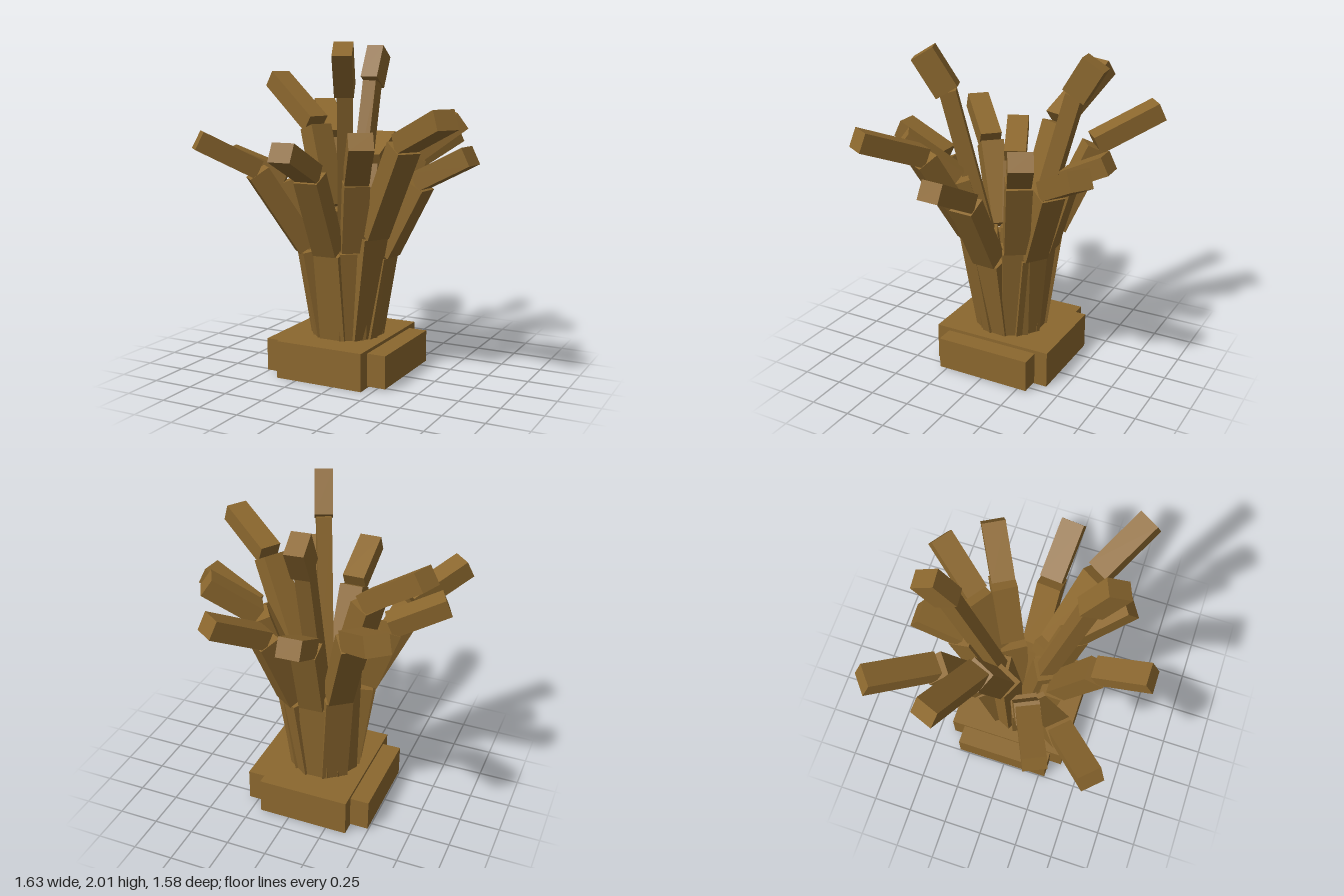
import * as THREE from 'three';

const wood = new THREE.MeshStandardMaterial({ color: 0x8b672e });
wood.name = 'wood brown';

const CX = -0.095, CZ = -0.01; // centre of the plant

function box(name, w, h, d, x, y, z) {
  const m = new THREE.Mesh(new THREE.BoxGeometry(w, h, d), wood);
  m.name = name;
  m.position.set(x, y, z);
  return m;
}

// Square-cut beam from a to b; its width stays level, across the plan heading
function beam(name, a, b, width, depth) {
  const along = b.clone().sub(a);
  const length = along.length();
  along.normalize();
  const across = new THREE.Vector3(along.z, 0, -along.x).normalize();
  const out = new THREE.Vector3().crossVectors(across, along);
  const m = box(name, width, length, depth, 0, 0, 0);
  m.quaternion.setFromRotationMatrix(new THREE.Matrix4().makeBasis(across, along, out));
  m.position.copy(a).add(b).multiplyScalar(0.5);
  return m;
}

// Outer branches: tip start, tip end, height and radius of the lower joint
const branches = [
  { name: 'frontBranch', from: [-0.09, 1.27, 0.46], to: [-0.09, 1.42, 0.77], jointY: 0.79, r: 0.25 },
  { name: 'frontLeftLongBranch', from: [0.42, 1.45, 0.30], to: [0.75, 1.605, 0.50], jointY: 0.9, r: 0.29 },
  { name: 'frontLeftShortBranch', from: [0.10, 1.23, 0.26], to: [0.27, 1.475, 0.53], jointY: 0.8, r: 0.22 },
  { name: 'frontRightBranch', from: [-0.50, 1.27, 0.37], to: [-0.75, 1.45, 0.61], jointY: 0.79, r: 0.26 },
  { name: 'rightBranch', from: [-0.43, 1.2, 0.15], to: [-0.74, 1.34, 0.29], jointY: 0.82, r: 0.24 },
  { name: 'backRightHighBranch', from: [-0.40, 1.51, -0.16], to: [-0.765, 1.785, -0.30], jointY: 1.0, r: 0.18 },
  { name: 'backRightLongBranch', from: [-0.40, 1.40, -0.41], to: [-0.65, 1.59, -0.72], jointY: 0.88, r: 0.26 },
  { name: 'backBranch', from: [-0.11, 1.26, -0.36], to: [-0.12, 1.39, -0.62], jointY: 0.8, r: 0.22 },
  { name: 'backLeftBranch', from: [0.15, 1.27, -0.37], to: [0.35, 1.445, -0.65], jointY: 0.8, r: 0.25 },
  { name: 'backLeftHighBranch', from: [0.25, 1.34, -0.23], to: [0.50, 1.545, -0.37], jointY: 0.85, r: 0.25 },
  { name: 'leftBranch', from: [0.40, 1.21, 0.03], to: [0.725, 1.375, 0.06], jointY: 0.77, r: 0.27 },
];

function outerBranch({ name, from, to, jointY, r }) {
  const g = new THREE.Group();
  g.name = name;
  const tipStart = new THREE.Vector3(...from);
  const tipEnd = new THREE.Vector3(...to);
  const angle = Math.atan2(tipStart.z - CZ, tipStart.x - CX);
  const at = (radius, y) =>
    new THREE.Vector3(CX + Math.cos(angle) * radius, y, CZ + Math.sin(angle) * radius);
  const joint = at(r, jointY);
  const elbow = tipStart.clone();
  elbow.y -= 0.02;
  g.add(beam('lowerStem', at(0.13, 0.16), at(r - 0.03, jointY - 0.02), 0.165, 0.14));
  g.add(beam('middleStem', joint, elbow, 0.15, 0.13));
  g.add(beam('tip', tipStart, tipEnd, 0.14, 0.115));
  return g;
}

// Tall inner shoots: slim stem with a thicker short tip
const shoots = [
  { name: 'tallFrontShoot', root: [-0.08, 0.16, 0.05], joint: [-0.03, 0.85, 0.14], from: [0.07, 1.74, 0.335], to: [0.125, 1.97, 0.465] },
  { name: 'tallBackShoot', root: [-0.10, 0.16, -0.06], joint: [-0.11, 0.85, -0.15], from: [-0.12, 1.765, -0.4], to: [-0.13, 1.96, -0.515] },
];

function tallShoot({ name, root, joint, from, to }) {
  const g = new THREE.Group();
  g.name = name;
  const [a, b, c, d] = [root, joint, from, to].map((p) => new THREE.Vector3(...p));
  g.add(beam('lowerStem', a, b, 0.15, 0.14));
  g.add(beam('middleStem', b, c, 0.09, 0.1));
  g.add(beam('tip', c, d, 0.11, 0.15));
  return g;
}

export function createModel() {
  const model = new THREE.Group();
  model.name = 'branchingPlant';

  // Crossed base blocks
  model.add(box('deepBaseBlock', 0.57, 0.23, 0.77, -0.095, 0.115, -0.012));
  model.add(box('wideBaseBlock', 0.805, 0.2, 0.605, -0.095, 0.11, -0.012));

  for (const b of branches) model.add(outerBranch(b));
  for (const s of shoots) model.add(tallShoot(s));
  return model;
}
